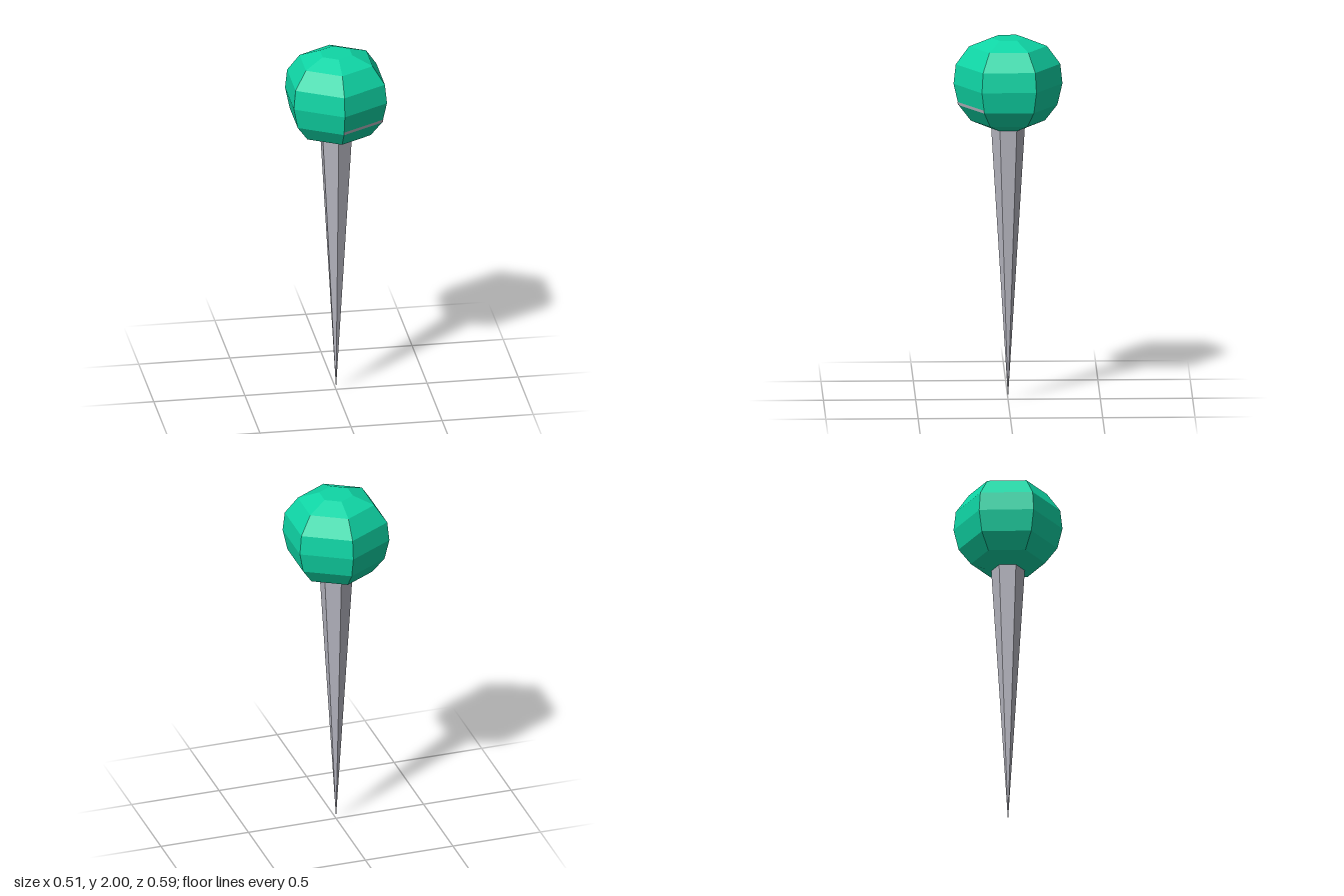
import * as THREE from 'three';

const SIDES = 6;

// Faceted solid of revolution with a corner facing +z
function faceted(name, profile, material, start = 0, segments = SIDES) {
  const points = profile.map(([r, y]) => new THREE.Vector2(r, y));
  const length = (segments / SIDES) * Math.PI * 2;
  const geometry = new THREE.LatheGeometry(points, segments, start, length).toNonIndexed();
  geometry.computeVertexNormals();
  const mesh = new THREE.Mesh(geometry, material);
  mesh.name = name;
  return mesh;
}

export function createModel() {
  const green = new THREE.MeshStandardMaterial({ name: 'emerald green', color: 0x0fd6a6, flatShading: true });
  const steel = new THREE.MeshStandardMaterial({ name: 'steel grey', color: 0xb8b8c2, flatShading: true });

  const model = new THREE.Group();
  model.name = 'pin';

  // Round six-sided head
  model.add(faceted('head', [
    [0, 1.5], [0.092, 1.5], [0.201, 1.543], [0.268, 1.63], [0.295, 1.747],
    [0.283, 1.855], [0.211, 1.954], [0.093, 2], [0, 2],
  ], green));

  // Long tapering needle, pointed at the bottom
  model.add(faceted('needle', [[0, 0], [0.0015, 0.028], [0.091, 1.5]], steel));

  // Thin grey line on the front left facet of the head
  model.add(faceted('headLine', [[0.27, 1.63], [0.274, 1.647]], steel, 0, 1));

  return model;
}
